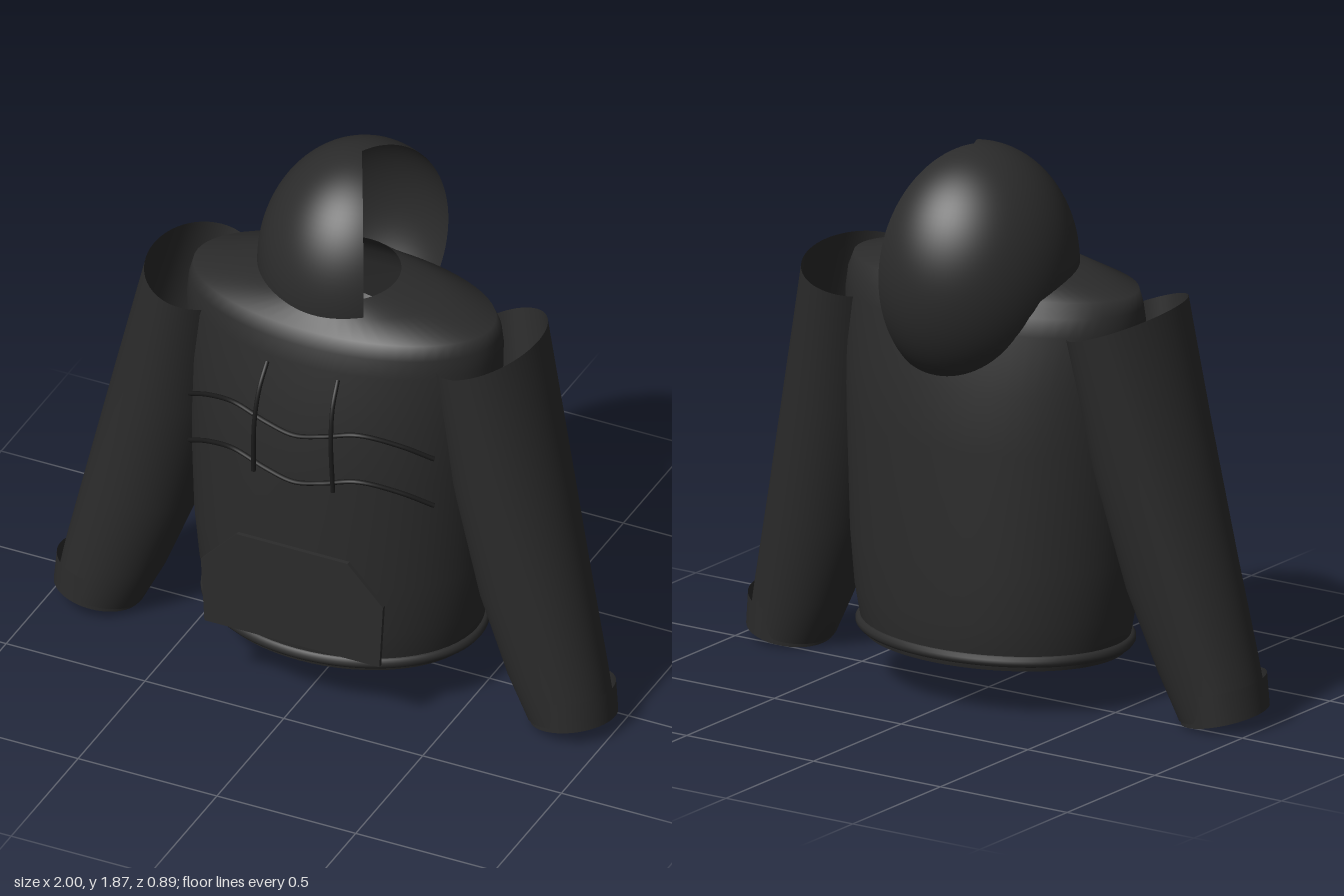
import * as THREE from 'three';

const V = (x, y, z) => new THREE.Vector3(x, y, z);

// Skin closed elliptical rings { c: centre, u, v: half axes }, listed bottom to top.
function loft(rings, seg = 64) {
  const pos = [], idx = [];
  rings.forEach(({ c, u, v }, i) => {
    for (let j = 0; j < seg; j++) {
      const a = (j / seg) * Math.PI * 2;
      const p = c.clone().addScaledVector(u, Math.cos(a)).addScaledVector(v, Math.sin(a));
      pos.push(p.x, p.y, p.z);
      if (i === rings.length - 1) continue;
      const k = (j + 1) % seg;
      const p0 = i * seg + j, p1 = i * seg + k, q0 = p0 + seg, q1 = p1 + seg;
      idx.push(p0, q0, p1, p1, q0, q1);
    }
  });
  const g = new THREE.BufferGeometry();
  g.setAttribute('position', new THREE.Float32BufferAttribute(pos, 3));
  g.setIndex(idx);
  g.computeVertexNormals();
  return g;
}

// Ring of a sleeve from its outer and inner edge points (model's left side).
function sleeveRing(side, ox, oy, ix, iy, zc, rz, tilt = 0.015) {
  return {
    c: V(side * (ox + ix) / 2, (oy + iy) / 2, zc),
    u: V(side * (ox - ix) / 2, (oy - iy) / 2, 0),
    v: V(0, tilt, rz),
  };
}

export function createModel() {
  const group = new THREE.Group();
  const fabric = new THREE.MeshStandardMaterial({ color: 0x2b2b2b, side: THREE.DoubleSide });
  fabric.name = 'charcoal fabric';
  const trim = new THREE.MeshStandardMaterial({ color: 0x1a1a1a });
  trim.name = 'black cord';

  const add = (name, geometry, material) => {
    const mesh = new THREE.Mesh(geometry, material);
    mesh.name = name;
    group.add(mesh);
    return mesh;
  };
  const cord = (name, points, radius = 0.008) =>
    add(name, new THREE.TubeGeometry(new THREE.CatmullRomCurve3(points), 64, radius, 8), trim);

  // Torso: open at the hem and the neck; rows are y, half width, z centre, half depth
  const torso = [
    [0.165, 0.46, 0.04, 0.35], [0.2, 0.47, 0.04, 0.36], [0.32, 0.495, 0.04, 0.37],
    [0.5, 0.515, 0.04, 0.37], [0.9, 0.53, 0.04, 0.37], [1.1, 0.54, 0.04, 0.355],
    [1.3, 0.55, 0.04, 0.32], [1.36, 0.545, 0.04, 0.3], [1.41, 0.53, 0.045, 0.275],
    [1.455, 0.33, 0.045, 0.22], [1.485, 0.18, 0.04, 0.19],
  ];
  add('torso', loft(torso.map(([y, rx, zc, rz]) =>
    ({ c: V(0, y, zc), u: V(rx, 0, 0), v: V(0, 0, rz) }))), fabric);

  // Rolled hem
  const hemPoints = Array.from({ length: 32 }, (_, i) => {
    const a = (i / 32) * Math.PI * 2;
    return V(0.47 * Math.cos(a), 0.2, 0.04 + 0.355 * Math.sin(a));
  });
  add('hem', new THREE.TubeGeometry(
    new THREE.CatmullRomCurve3(hemPoints, true), 96, 0.02, 10, true), fabric);

  // Hood: a shell with a wedge left open towards the model's left
  const span = Math.PI * 1.315;
  const hood = add('hood', new THREE.SphereGeometry(
    1, 64, 40, -span / 2, span, 0, Math.PI * 0.8), fabric);
  hood.scale.set(0.335, 0.41, 0.36);
  hood.position.set(0, 1.46, -0.083);

  // Sleeves with closed cuffs
  for (const [side, label] of [[1, 'left'], [-1, 'right']]) {
    add(label + 'Sleeve', loft([
      sleeveRing(side, 0.988, 0.075, 0.705, 0.02, 0.11, 0.146),
      sleeveRing(side, 0.96, 0.22, 0.63, 0.17, 0.103, 0.158),
      sleeveRing(side, 0.885, 0.55, 0.525, 0.44, 0.083, 0.185),
      sleeveRing(side, 0.79, 0.96, 0.42, 0.86, 0.058, 0.222),
      sleeveRing(side, 0.685, 1.39, 0.36, 1.29, 0.035, 0.26),
    ]), fabric);
    add(label + 'Cuff', loft([
      sleeveRing(side, 1.0, 0.062, 0.715, 0.008, 0.11, 0.147),
      sleeveRing(side, 0.99, 0.17, 0.705, 0.115, 0.107, 0.15),
    ]), fabric);
    add(label + 'CuffEnd', loft([
      sleeveRing(side, 0.8575, 0.035, 0.8575, 0.035, 0.11, 0, 0),
      sleeveRing(side, 1.0, 0.062, 0.715, 0.008, 0.11, 0.147),
    ]), fabric);

    // Hanging drawstring
    cord(label + 'Drawstring', [
      V(side * 0.127, 1.28, 0.36), V(side * 0.132, 1.2, 0.41),
      V(side * 0.138, 1.08, 0.435), V(side * 0.143, 0.89, 0.43),
    ]);
  }

  // Wavy cords across the chest
  for (const [name, y] of [['upperChestCord', 1.02], ['lowerChestCord', 0.838]]) {
    const half = [[0.44, 0, 0.29], [0.34, 0.06, 0.35], [0.22, 0.1, 0.408], [0.1, 0.07, 0.425]];
    cord(name, [
      ...half.map(([x, h, z]) => V(-x, y + h, z)),
      V(0, y + 0.049, 0.428),
      ...half.reverse().map(([x, h, z]) => V(x, y + h, z)),
    ]);
  }

  // Front pocket panel
  const outline = [[-0.315, 0.26], [0.315, 0.26], [0.328, 0.495], [0.2, 0.63], [-0.2, 0.63], [-0.328, 0.495]];
  const pocket = add('pocket', new THREE.ExtrudeGeometry(
    new THREE.Shape(outline.map(([x, y]) => new THREE.Vector2(x, y))),
    { depth: 0.015, bevelEnabled: false }), fabric);
  pocket.position.z = 0.425;

  return group;
}
